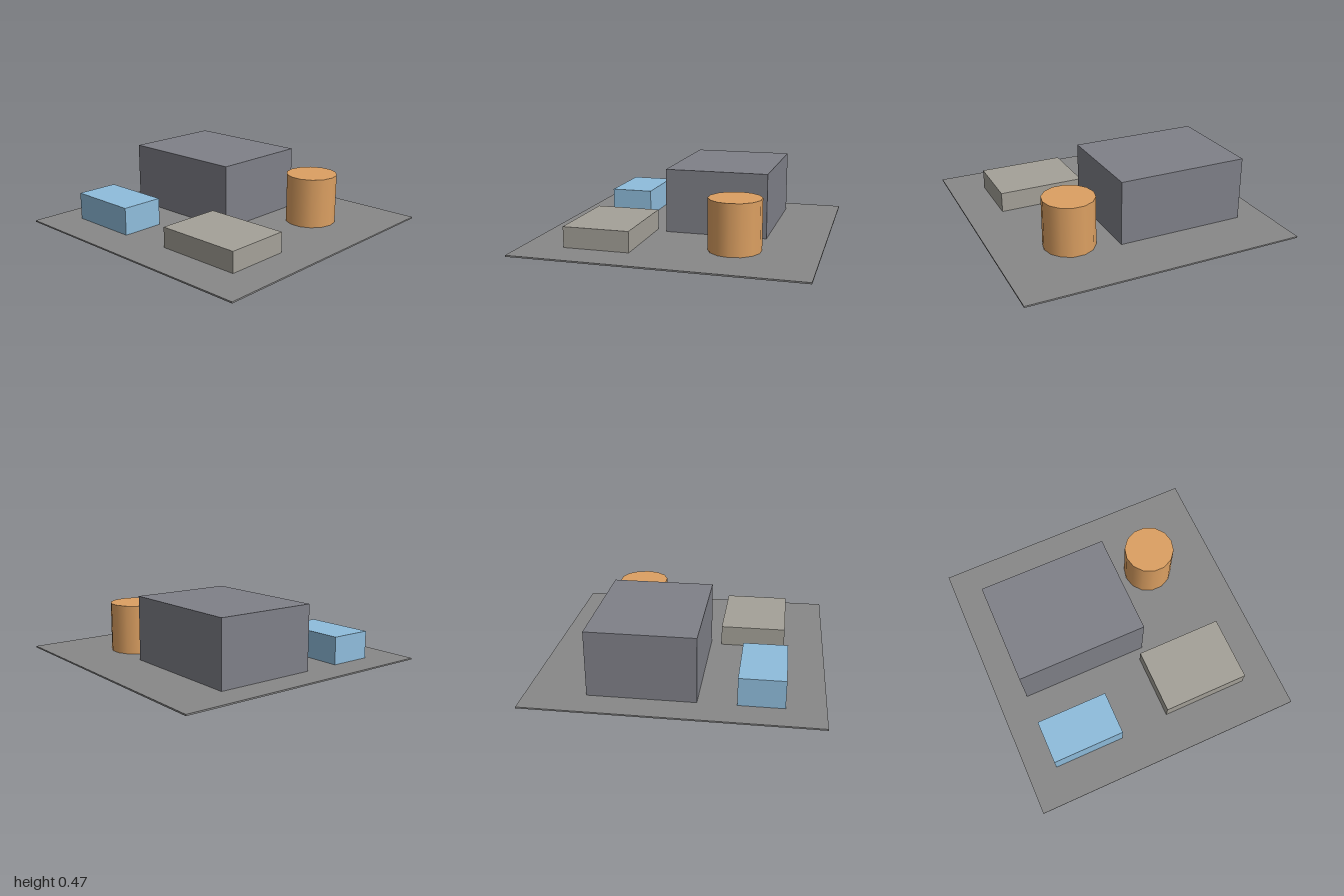
import * as THREE from 'three';

function addPart(group, name, geometry, color, x, y, z) {
  const mesh = new THREE.Mesh(geometry, new THREE.MeshStandardMaterial({ color }));
  mesh.name = name;
  mesh.position.set(x, y, z);
  group.add(mesh);
}

// Box given by its ground rectangle and its height range
function addBlock(group, name, color, [x0, x1], [z0, z1], [y0, y1]) {
  addPart(group, name, new THREE.BoxGeometry(x1 - x0, y1 - y0, z1 - z0), color,
    (x0 + x1) / 2, (y0 + y1) / 2, (z0 + z1) / 2);
}

export function createModel() {
  const group = new THREE.Group();
  group.name = 'industrialSite';

  // Thin ground slab, a hair above the block undersides so the faces do not clash
  addBlock(group, 'groundSlab', 0x888888, [-1, 1], [-1, 1], [0.0005, 0.011]);

  // Buildings reach down through the slab
  addBlock(group, 'mainHall', 0x7f8088, [-0.79, 0.157], [-0.583, 0.158], [0, 0.475]);
  addBlock(group, 'blueAnnex', 0x8fbddc, [-0.79, -0.265], [0.422, 0.735], [0, 0.21]);
  addBlock(group, 'lowBuilding', 0xa4a198, [0.103, 0.735], [0.237, 0.708], [0, 0.158]);

  // Fourteen-sided storage tank with corners on the x axis
  const tankHeight = 0.37;
  addPart(group, 'storageTank',
    new THREE.CylinderGeometry(0.184, 0.184, tankHeight, 14, 1, false, Math.PI / 2),
    0xdca062, 0.473, tankHeight / 2, -0.423);

  return group;
}
